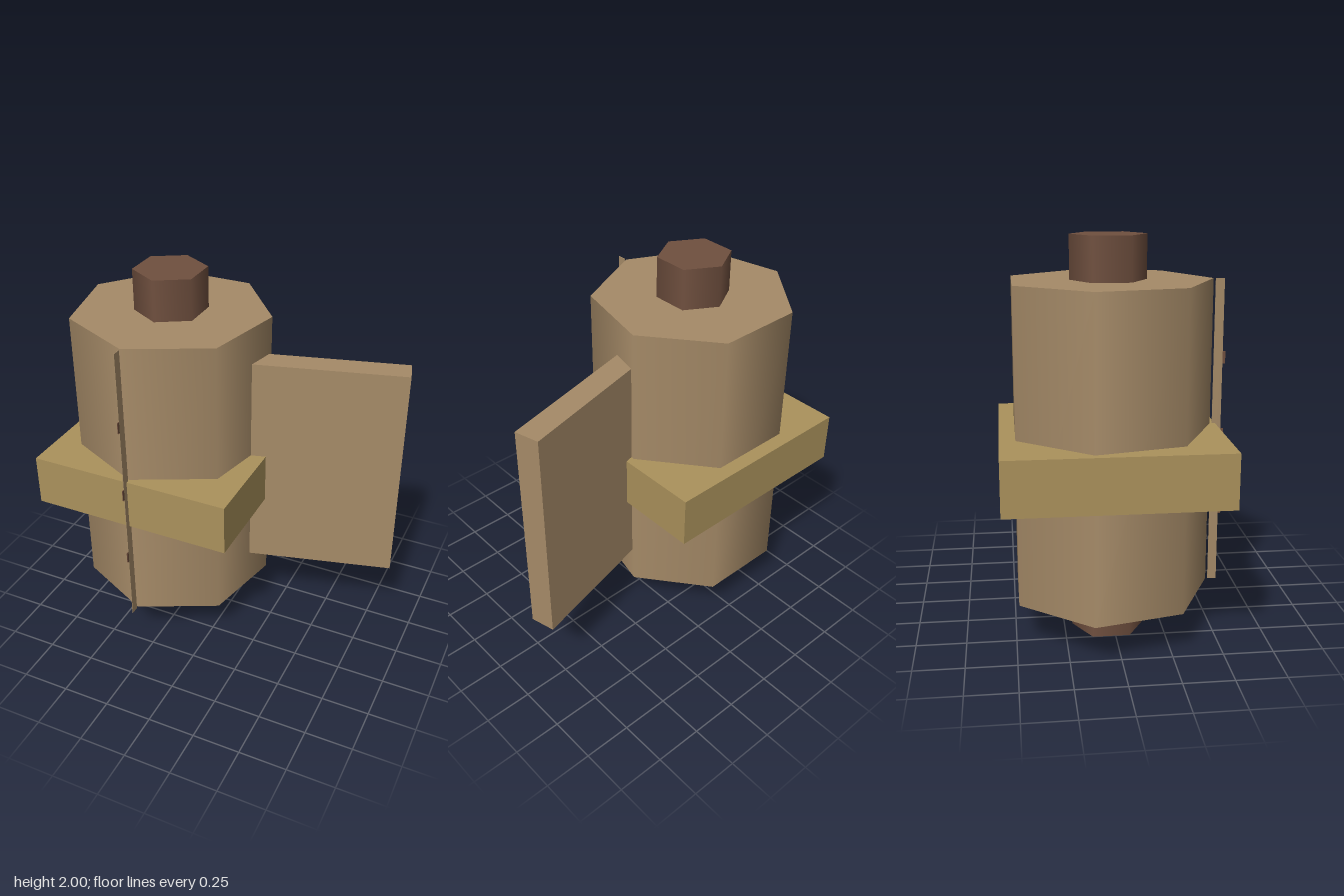
import * as THREE from 'three';

const AXIS_X = -0.34, AXIS_Z = -0.022;

export function createModel() {
  const group = new THREE.Group();
  const wood = new THREE.MeshStandardMaterial({ color: 0xa68b68 });
  const brass = new THREE.MeshStandardMaterial({ color: 0xab925c });
  const dark = new THREE.MeshStandardMaterial({ color: 0x70503f });

  const add = (name, geometry, material, x, y, z) => {
    const mesh = new THREE.Mesh(geometry, material);
    mesh.name = name;
    mesh.position.set(x, y, z);
    group.add(mesh);
    return mesh;
  };

  // seven-sided drum with a six-sided spindle through it
  add('drum', new THREE.CylinderGeometry(0.513, 0.513, 1.565, 7), wood, AXIS_X, 1.0025, AXIS_Z);
  add('spindle', new THREE.CylinderGeometry(0.187, 0.187, 2, 6), dark, AXIS_X, 1, AXIS_Z);

  // square band around the middle
  add('band', new THREE.BoxGeometry(1.08, 0.27, 1.08), brass, AXIS_X, 0.925, AXIS_Z);

  // flat panel leaving the side at a slant
  const panel = add('panel', new THREE.BoxGeometry(0.8, 1.175, 0.13), wood, 0.471, 1.0025, -0.132);
  panel.rotation.y = 0.253;

  // thin strip standing off the front edge, with three studs
  add('frontStrip', new THREE.BoxGeometry(0.003, 1.565, 0.045), wood, AXIS_X, 1.0025, 0.524);
  for (const y of [0.61, 1.0025, 1.395]) {
    add('stud', new THREE.BoxGeometry(0.004, 0.06, 0.014), dark, AXIS_X, y, 0.553);
  }
  return group;
}
